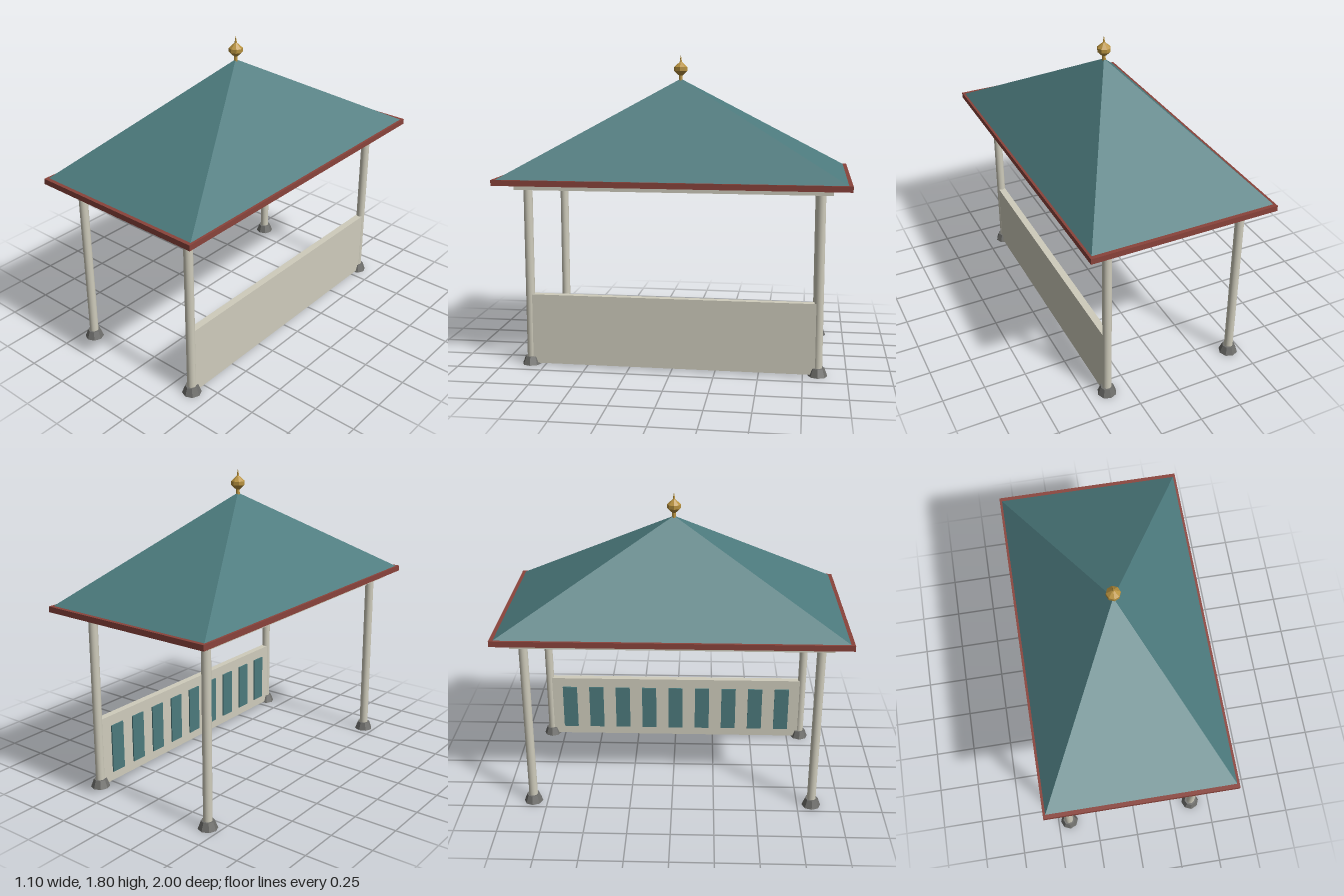
import * as THREE from 'three';

const material = (name, color, flatShading = false) => {
  const m = new THREE.MeshStandardMaterial({ color, flatShading });
  m.name = name;
  return m;
};

export function createModel() {
  const cream = material('cream paint', 0xcfccbc);
  const teal = material('teal', 0x4c7a7d, true);
  const red = material('red trim', 0x8a433b);
  const stone = material('grey stone', 0x6e6e6b, true);
  const gold = material('gold', 0xb8923f, true);

  const model = new THREE.Group();
  model.name = 'pavilion';
  const add = (name, geometry, mat, x, y, z, parent = model) => {
    const mesh = new THREE.Mesh(geometry, mat);
    mesh.name = name;
    mesh.position.set(x, y, z);
    parent.add(mesh);
    return mesh;
  };

  // The frame sits slightly off the roof's centre line
  const frame = new THREE.Group();
  frame.name = 'frame';
  frame.position.x = -0.024;
  model.add(frame);
  const postX = 0.405, postZ = 0.835;

  // Round posts on tapered stone feet
  const postGeo = new THREE.CylinderGeometry(0.026, 0.026, 1.02, 16);
  const footGeo = new THREE.CylinderGeometry(0.038, 0.056, 0.048, 8);
  for (const sx of [-1, 1]) {
    for (const sz of [-1, 1]) {
      add('post', postGeo, cream, sx * postX, 0.54, sz * postZ, frame);
      add('foot', footGeo, stone, sx * postX, 0.024, sz * postZ, frame);
    }
  }

  // Ceiling slab resting on the posts
  add('ceilingSlab', new THREE.BoxGeometry(0.938, 0.035, 1.8), cream, 0, 1.0595, 0, frame);

  // Low side wall with a row of inset-coloured panels on its inner face
  add('sideWall', new THREE.BoxGeometry(0.042, 0.413, 2 * postZ), cream, postX, 0.2165, 0, frame);
  const panelGeo = new THREE.BoxGeometry(0.009, 0.295, 0.094);
  for (let i = 0; i < 9; i++) {
    add('wallPanel', panelGeo, teal, postX - 0.0245, 0.2125, (i - 4) * 0.176, frame);
  }

  // Eaves board and hipped roof
  add('eaves', new THREE.BoxGeometry(1.098, 0.033, 2), red, 0, 1.0935, 0);
  const roofGeo = new THREE.ConeGeometry(Math.SQRT1_2, 0.552, 4, 1, true);
  roofGeo.rotateY(Math.PI / 4);
  roofGeo.scale(1.07, 1, 1.955);
  add('roof', roofGeo, teal, 0, 1.386, 0);

  // Turned finial
  const profile = [
    [0.012, 1.64], [0.01, 1.68], [0.02, 1.688], [0.04, 1.708], [0.04, 1.73],
    [0.018, 1.75], [0.007, 1.76], [0.004, 1.78], [0, 1.8],
  ].map(([r, y]) => new THREE.Vector2(r, y));
  add('finial', new THREE.LatheGeometry(profile, 8), gold, 0, 0, 0);

  return model;
}
